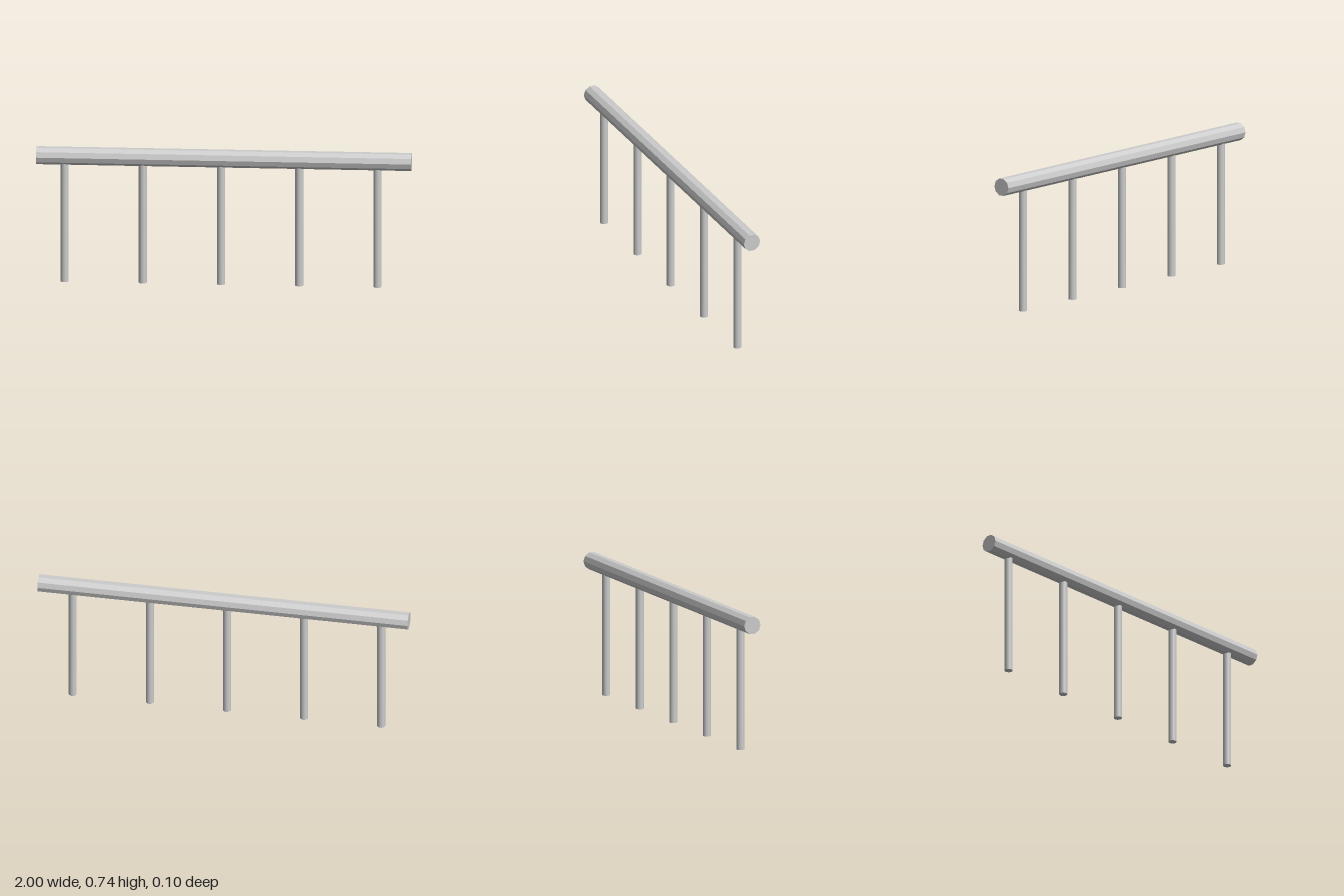
import * as THREE from 'three';

const RAIL_Y = 0.697;
const POST_TOP = 0.67; // slightly sunk into the rail

export function createModel() {
  const group = new THREE.Group();
  group.name = 'handrail';

  // Ten-sided horizontal rail, flat face up
  const railMaterial = new THREE.MeshStandardMaterial({ color: 0xcccccc, flatShading: true });
  const rail = new THREE.Mesh(new THREE.CylinderGeometry(0.048, 0.048, 2, 10), railMaterial);
  rail.name = 'rail';
  rail.rotation.z = Math.PI / 2;
  rail.position.y = RAIL_Y;
  group.add(rail);

  // Five evenly spaced round posts, the row set slightly towards -x
  const postMaterial = new THREE.MeshStandardMaterial({ color: 0xcccccc });
  const postGeometry = new THREE.CylinderGeometry(0.0215, 0.0215, POST_TOP, 24);
  for (let i = 0; i < 5; i++) {
    const post = new THREE.Mesh(postGeometry, postMaterial);
    post.name = `post${i + 1}`;
    post.position.set(-0.85 + i * 0.417, POST_TOP / 2, 0);
    group.add(post);
  }

  return group;
}
